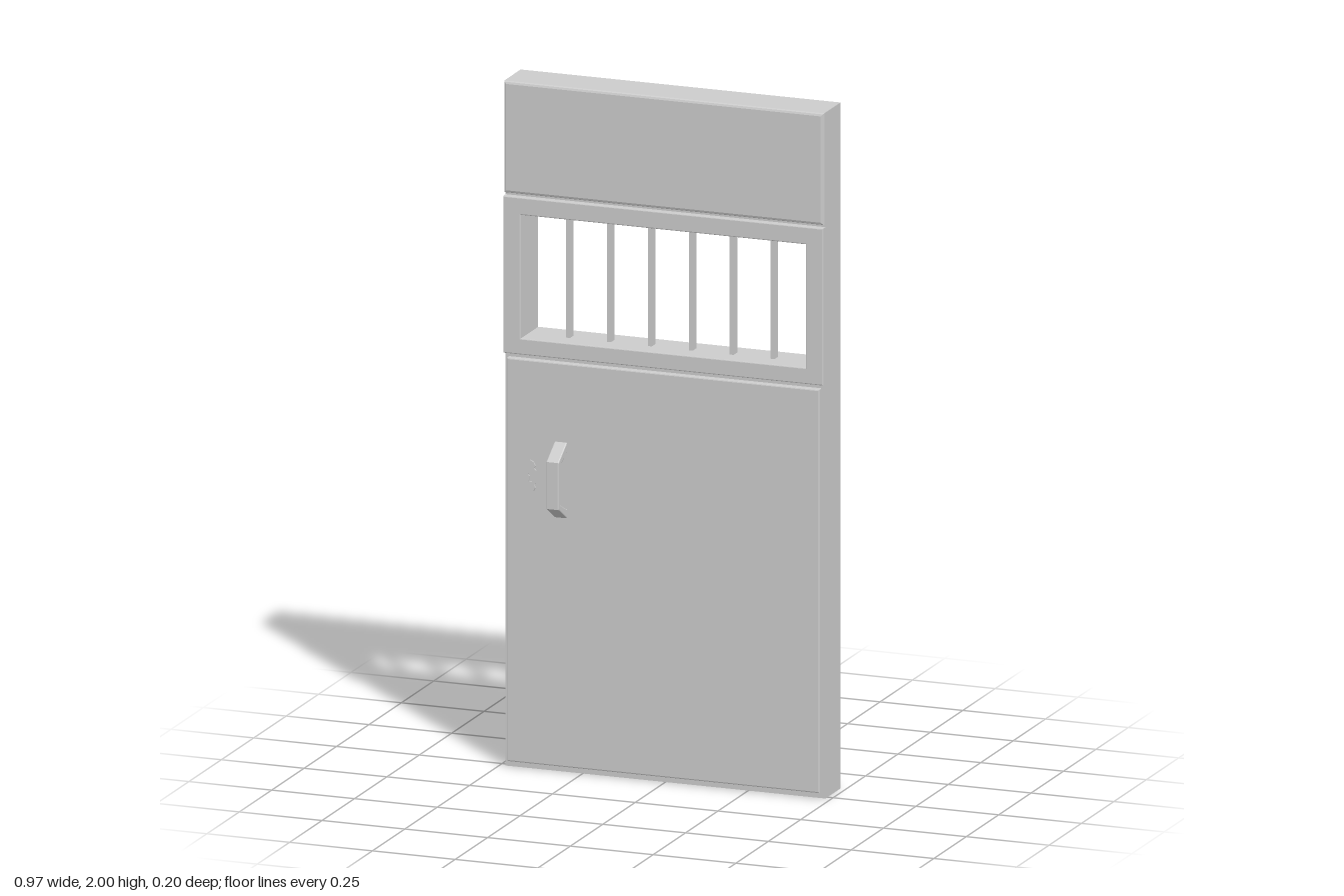
import * as THREE from 'three';

const material = new THREE.MeshStandardMaterial({ color: 0xcccccc, flatShading: true });

// Rectangular outline from two opposite corners
function rect(x0, y0, x1, y1, Type = THREE.Shape) {
  return new Type([[x0, y0], [x1, y0], [x1, y1], [x0, y1]].map(p => new THREE.Vector2(...p)));
}

// Extrude a shape between two depths, with an optional bevel kept inside the outline
function slab(name, shape, zBack, zFront, bevel = 0) {
  const geometry = new THREE.ExtrudeGeometry(shape, {
    depth: zFront - zBack - 2 * bevel,
    bevelEnabled: bevel > 0,
    bevelThickness: bevel,
    bevelSize: bevel,
    bevelOffset: -bevel,
    bevelSegments: 2,
    curveSegments: 8,
  });
  geometry.translate(0, 0, zBack + bevel);
  const mesh = new THREE.Mesh(geometry, material);
  mesh.name = name;
  return mesh;
}

export function createModel() {
  const door = new THREE.Group();
  door.name = 'door';
  const W = 0.483;
  const win = [-0.43, 1.255, 0.43, 1.615];

  // Door leaf with the window cut through
  const leaf = rect(-W, 0, W, 2);
  leaf.holes.push(rect(...win, THREE.Path));
  door.add(slab('doorLeaf', leaf, -0.1, 0.016));

  // Raised front panels
  door.add(slab('lowerPanel', rect(-0.472, 0.018, 0.472, 1.195), 0.006, 0.034, 0.004));
  door.add(slab('upperPanel', rect(-W, 1.674, W, 2), 0, 0.032, 0.008));
  const frame = rect(-W, 1.208, W, 1.666);
  frame.holes.push(rect(...win, THREE.Path));
  door.add(slab('windowFrame', frame, 0.006, 0.035, 0.003));

  // Window bars, evenly spaced
  const bars = new THREE.Group();
  bars.name = 'windowBars';
  const barGeometry = new THREE.BoxGeometry(0.012, win[3] - win[1] + 0.01, 0.028);
  for (let i = 0; i < 6; i++) {
    const bar = new THREE.Mesh(barGeometry, material);
    bar.name = 'bar';
    bar.position.set((i - 2.5) * 0.1235, (win[1] + win[3]) / 2, -0.035);
    bars.add(bar);
  }
  door.add(bars);

  // Pull handle: bent strip drawn in side profile, then turned to face forward
  const profile = new THREE.Shape([
    [0.03, 0.965], [0.036, 0.965], [0.1, 0.922], [0.1, 0.785], [0.036, 0.745], [0.03, 0.745],
    [0.03, 0.772], [0.036, 0.772], [0.087, 0.797], [0.087, 0.908], [0.036, 0.935], [0.03, 0.935],
  ].map(p => new THREE.Vector2(...p)));
  const handle = slab('handle', profile, -0.019, 0.019, 0.003);
  handle.rotation.y = -Math.PI / 2;
  handle.position.x = -0.309;
  door.add(handle);

  // Keyhole plate: waisted outline mirrored about both axes, with a keyhole opening
  const quarter = [[0.017, 0], [0.017, 0.018], [0.012, 0.024], [0.015, 0.032], [0.01, 0.042], [0, 0.048]];
  const half = [...quarter, ...quarter.slice(0, -1).reverse().map(([x, y]) => [-x, y])];
  const outline = [...half, ...half.slice(1, -1).map(([x, y]) => [-x, -y])];
  const plate = new THREE.Shape(outline.map(([x, y]) => new THREE.Vector2(x, y)));
  const keyhole = new THREE.Path();
  keyhole.absarc(0, 0.006, 0.006, -Math.PI / 3, Math.PI * 4 / 3, false);
  keyhole.lineTo(-0.005, -0.016);
  keyhole.lineTo(0.005, -0.016);
  keyhole.closePath();
  plate.holes.push(keyhole);
  const keyPlate = slab('keyholePlate', plate, 0.03, 0.038);
  keyPlate.position.set(-0.4, 0.857, 0);
  door.add(keyPlate);

  return door;
}
